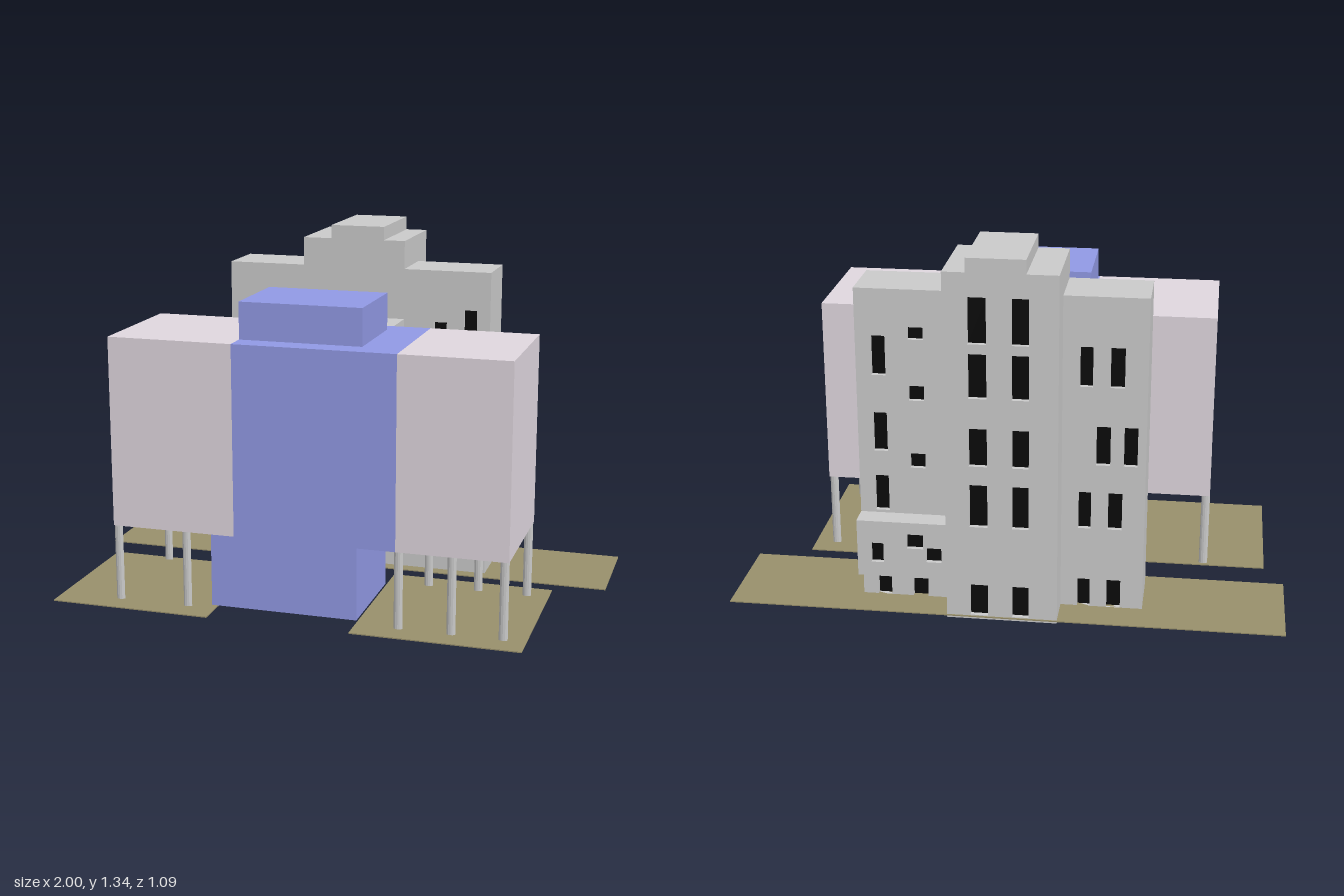
import * as THREE from 'three';

const mat = (color) => new THREE.MeshStandardMaterial({ color, flatShading: true });
const grey = mat(0xcccccc);
const pale = mat(0xe1d8e0);
const blue = mat(0x929ae6);
const olive = mat(0x99906c);
const black = mat(0x0a0a0a);
const REVEAL = 0.02; // depth of the window recesses

function add(parent, name, geometry, material) {
  const mesh = new THREE.Mesh(geometry, material);
  mesh.name = name;
  parent.add(mesh);
  return mesh;
}

// Box given by its lower and upper limits on each axis
function block(parent, name, [x0, x1], [y0, y1], [z0, z1], material) {
  const mesh = add(parent, name, new THREE.BoxGeometry(x1 - x0, y1 - y0, z1 - z0), material);
  mesh.position.set((x0 + x1) / 2, (y0 + y1) / 2, (z0 + z1) / 2);
  return mesh;
}

function rect(Type, [x0, x1], [y0, y1]) {
  const r = new Type();
  r.moveTo(x0, y0);
  r.lineTo(x1, y0);
  r.lineTo(x1, y1);
  r.lineTo(x0, y1);
  r.closePath();
  return r;
}

// Wall with window holes, from z to z + REVEAL, and dark panes at its inner side
function wall(parent, name, xs, ys, z, inner, windows) {
  const shape = rect(THREE.Shape, xs, ys);
  for (const [wx, wy] of windows) {
    shape.holes.push(rect(THREE.Path, wx, wy));
    block(parent, 'windowPane', wx, wy, [inner - 0.002, inner + 0.002], black);
  }
  const geo = new THREE.ExtrudeGeometry(shape, { depth: REVEAL, bevelEnabled: false });
  add(parent, name, geo, grey).position.z = z;
}

// Solid volume whose front and back walls carry windows
function tower(parent, name, xs, ys, [z0, z1], backWindows, frontWindows = []) {
  const g = new THREE.Group();
  g.name = name;
  parent.add(g);
  block(g, 'core', xs, ys, [z0 + REVEAL, z1 - REVEAL], grey);
  wall(g, 'backWall', xs, ys, z0, z0 + REVEAL, backWindows);
  wall(g, 'frontWall', xs, ys, z1 - REVEAL, z1 - REVEAL, frontWindows);
}

// Every column range combined with every row range
const grid = (cols, rows) => cols.flatMap((c) => rows.map((r) => [c, r]));

export function createModel() {
  const model = new THREE.Group();
  model.name = 'buildingComplex';

  // Thin ground plates
  const ground = [0.008, 0.012];
  block(model, 'rearGround', [-1, 1], ground, [-0.545, -0.155], olive);
  block(model, 'rightGround', [-0.93, -0.33], ground, [-0.03, 0.54], olive);
  block(model, 'leftGround', [0.2, 0.81], ground, [-0.09, 0.54], olive);

  // Raised front hall with a coloured middle
  const hallY = [0.295, 0.995], hallZ = [-0.025, 0.46];
  block(model, 'hallRight', [-0.715, -0.25], hallY, hallZ, pale);
  block(model, 'hallMiddle', [-0.25, 0.345], hallY, hallZ, blue);
  block(model, 'hallLeft', [0.345, 0.745], hallY, hallZ, pale);
  block(model, 'entranceBlock', [-0.345, 0.2], [0.02, 0.295], [0.045, 0.44], blue);
  block(model, 'roofBlock', [-0.25, 0.2], [0.995, 1.13], [0.045, 0.375], blue);

  // Slim columns below the hall
  for (const x of [-0.7, -0.435, 0.355, 0.545, 0.729]) {
    for (const z of [-0.009, 0.45]) {
      const column = add(model, 'column', new THREE.CylinderGeometry(1, 1, 0.285, 12), grey);
      column.scale.set(0.016, 1, 0.01);
      column.position.set(x, 0.153, z);
    }
  }

  // Three bridges: a deck with raised piers
  for (const [y0, y1] of [[0.34, 0.47], [0.57, 0.71], [0.85, 0.99]]) {
    block(model, 'bridgeDeck', [-0.195, 0.2], [y0, y0 + 0.03], [-0.2, -0.025], grey);
    for (const xs of [[-0.195, -0.094], [-0.035, 0.051], [0.115, 0.2]]) {
      block(model, 'bridgePier', xs, [y0 + 0.03, y1], [-0.2, -0.025], grey);
    }
  }

  // Central tower with a stepped top
  const towerZ = [-0.54, -0.2];
  tower(model, 'centralTower', [-0.195, 0.2], [0, 1.285], towerZ,
    grid([[-0.094, -0.035], [0.051, 0.115]],
      [[0.015, 0.135], [0.36, 0.52], [0.59, 0.73], [0.84, 1.0], [1.035, 1.2]]));
  block(model, 'towerCap', [-0.085, 0.12], [1.285, 1.335], towerZ, grey);

  // Side wings
  const wingZ = [-0.415, -0.2], wingY = [0, 1.18];
  const frontRows = [[0.285, 0.43], [0.57, 0.72], [0.88, 1.035]];
  tower(model, 'rightWing', [-0.49, -0.195], wingY, wingZ,
    [
      ...grid([[-0.3, -0.255], [-0.41, -0.36]], [[0.012, 0.12], [0.32, 0.46], [0.855, 1.0]]),
      ...grid([[-0.365, -0.315], [-0.46, -0.412]], [[0.565, 0.71]]),
    ],
    grid([[-0.34, -0.285]], frontRows));
  tower(model, 'leftWing', [0.2, 0.53], wingY, wingZ,
    [
      ...grid([[0.425, 0.475]], [[0.012, 0.1], [0.35, 0.485], [0.58, 0.725], [0.865, 1.01]]),
      ...grid([[0.29, 0.345]], [[0.012, 0.1], [0.52, 0.575], [0.775, 0.83], [1.0, 1.045]]),
    ],
    [...grid([[0.43, 0.48]], frontRows),
      ...grid([[0.315, 0.365]], [[0.29, 0.43], [0.57, 0.71], [0.84, 0.985]])]);

  // Low bay on the back of the left wing
  tower(model, 'backBay', [0.2, 0.53], [0.125, 0.34], [-0.495, -0.415], [
    [[0.435, 0.48], [0.18, 0.255]],
    [[0.29, 0.35], [0.24, 0.295]],
    [[0.225, 0.28], [0.19, 0.245]],
  ]);

  return model;
}
